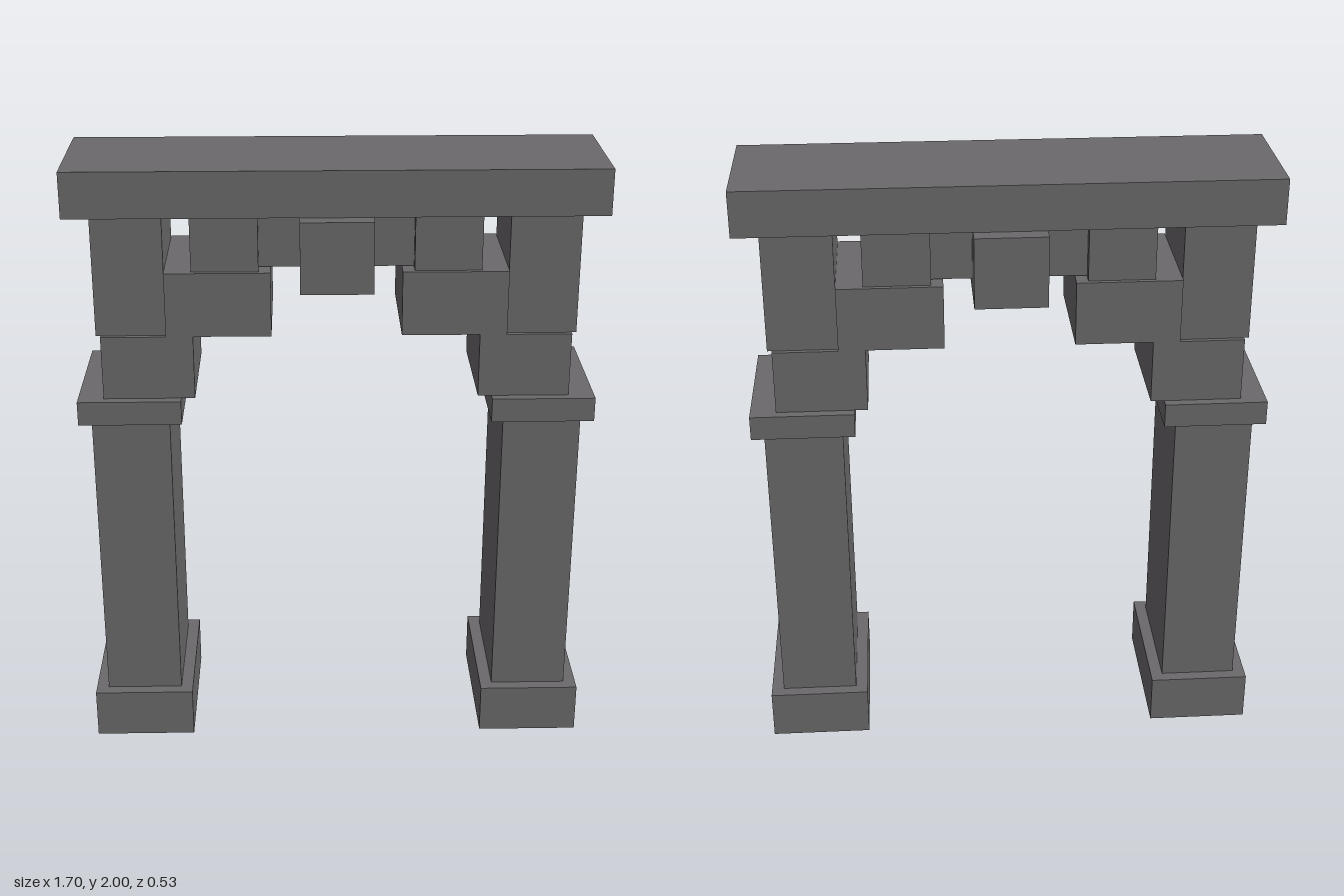
import * as THREE from 'three';

export function createModel() {
  const group = new THREE.Group();
  group.name = 'stoneArchway';
  const stone = new THREE.MeshStandardMaterial({ color: 0x6b696b });
  stone.name = 'grey stone';

  // Block from its x range, y range and half depth
  function block(name, x0, x1, y0, y1, halfDepth) {
    const mesh = new THREE.Mesh(new THREE.BoxGeometry(x1 - x0, y1 - y0, halfDepth * 2), stone);
    mesh.name = name;
    mesh.position.set((x0 + x1) / 2, (y0 + y1) / 2, 0);
    group.add(mesh);
  }

  // Blocks of one side, mirrored to the other
  const sideBlocks = [
    ['Base', 0.5, 0.833, 0, 0.167, 0.247],
    ['Shaft', 0.54, 0.792, 0.167, 1.17, 0.208],
    ['Capital', 0.5, 0.833, 1.17, 1.25, 0.231],
    ['LowerCorbel', 0.456, 0.75, 1.25, 1.46, 0.2],
    ['UpperCorbel', 0.207, 0.542, 1.46, 1.67, 0.2],
    ['UpperPier', 0.542, 0.765, 1.46, 1.852, 0.185],
    ['Spandrel', 0.245, 0.457, 1.67, 1.852, 0.185],
  ];
  for (const [name, x0, x1, y0, y1, d] of sideBlocks) {
    block('left' + name, x0, x1, y0, y1, d);
    block('right' + name, -x1, -x0, y0, y1, d);
  }

  // Centre of the arch and the slab on top
  block('crown', -0.245, 0.245, 1.675, 1.852, 0.15);
  block('keystone', -0.115, 0.115, 1.62, 1.852, 0.266);
  block('lintel', -0.848, 0.848, 1.852, 2, 0.215);

  return group;
}
